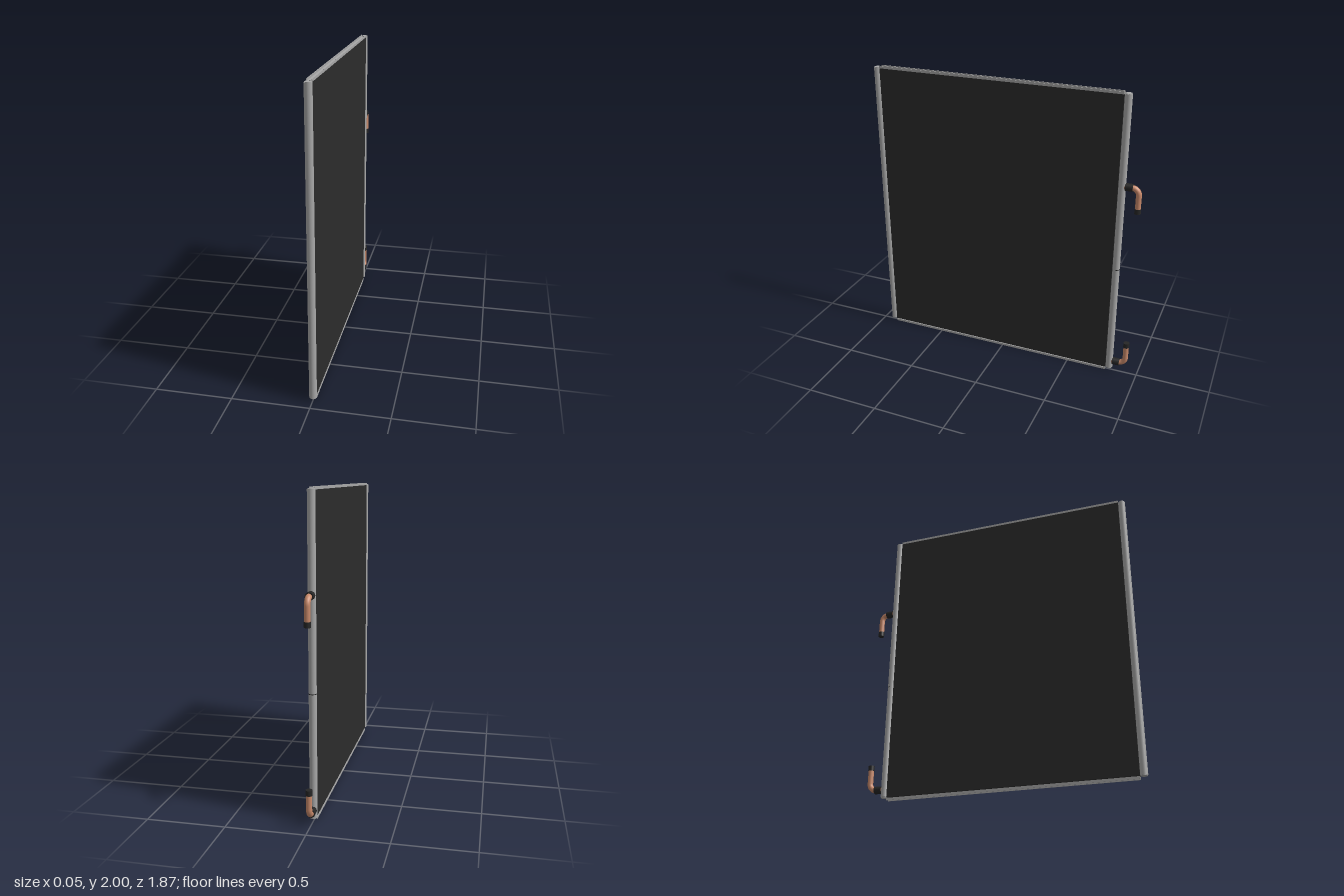
import * as THREE from 'three';

const mat = (name, color, side = THREE.FrontSide) => {
  const m = new THREE.MeshStandardMaterial({ color, side });
  m.name = name;
  return m;
};

export function createModel() {
  const aluminium = mat('aluminium', 0xa9a9a9);
  const finBlack = mat('fin black', 0x2c2c2c);
  const sleeveBlack = mat('sleeve black', 0x262626, THREE.DoubleSide);
  const copper = mat('copper', 0xc98a6b);

  const model = new THREE.Group();
  model.name = 'heatExchanger';
  const add = (name, geometry, material, x, y, z, parent = model) => {
    const mesh = new THREE.Mesh(geometry, material);
    mesh.name = name;
    mesh.position.set(x, y, z);
    parent.add(mesh);
    return mesh;
  };

  // Finned core panel
  const zMid = 0.053, coreLength = 1.67;
  add('core', new THREE.BoxGeometry(0.032, 1.966, coreLength), finBlack, 0, 1.003, zMid);

  // Vertical header tubes with small end caps
  for (const [name, z] of [['frontHeader', 0.911], ['rearHeader', -0.805]]) {
    add(name, new THREE.CylinderGeometry(0.024, 0.024, 1.962, 32), aluminium, 0, 1.005, z);
    for (const y of [0.022, 1.988])
      add(name + 'Cap', new THREE.CylinderGeometry(0.021, 0.021, 0.006, 32), aluminium, 0, y, z);
  }

  // Slot for the dividing plate, on the outer half of the rear header
  add('dividerSlot', new THREE.CylinderGeometry(0.0245, 0.0245, 0.005, 24, 1, true, Math.PI / 2, Math.PI),
    sleeveBlack, 0, 0.805, -0.805);

  // U-shaped edge channels, open away from the core
  const u = new THREE.Shape([
    [-0.0175, 0], [0.0175, 0], [0.0175, 0.016], [0.0135, 0.016],
    [0.0135, 0.004], [-0.0135, 0.004], [-0.0135, 0.016], [-0.0175, 0.016],
  ].map(([x, y]) => new THREE.Vector2(x, y)));
  const channelGeometry = new THREE.ExtrudeGeometry(u, { depth: coreLength, bevelEnabled: false });
  channelGeometry.translate(0, 0, -coreLength / 2);
  for (const top of [true, false]) {
    const channel = new THREE.Group();
    channel.name = top ? 'topChannel' : 'bottomChannel';
    channel.position.set(0, top ? 1.984 : 0.016, zMid);
    if (!top) channel.rotation.z = Math.PI;
    model.add(channel);
    add('channelRail', channelGeometry, aluminium, 0, 0, 0, channel);
    // Drain holes along the web
    for (const z of [-0.82, -0.48, -0.16, 0.16, 0.49, 0.82])
      add('drainHole', new THREE.CylinderGeometry(0.005, 0.005, 0.001, 12), finBlack, 0, 0.0045, z, channel);
  }

  // Bent pipe stubs: the upper one turns down, the lower one up
  for (const [name, y, dir] of [['upperPipe', 1.393, -1], ['lowerPipe', 0.076, 1]]) {
    const pipe = new THREE.Group();
    pipe.name = name;
    pipe.position.y = y;
    model.add(pipe);
    const path = new THREE.CurvePath();
    const v = (h, z) => new THREE.Vector3(0, h * dir, z);
    path.add(new THREE.LineCurve3(v(0, -0.822), v(0, -0.868)));
    path.add(new THREE.CubicBezierCurve3(v(0, -0.868), v(0, -0.894), v(0.021, -0.915), v(0.047, -0.915)));
    path.add(new THREE.LineCurve3(v(0.047, -0.915), v(0.165, -0.915)));
    add('elbow', new THREE.TubeGeometry(path, 48, 0.0185, 20), copper, 0, 0, 0, pipe);
    add('collar', new THREE.CylinderGeometry(0.025, 0.025, 0.05, 28), sleeveBlack, 0, 0, -0.851, pipe)
      .rotation.x = Math.PI / 2;
    add('endCap', new THREE.CylinderGeometry(0.0205, 0.0205, 0.034, 28), sleeveBlack, 0, 0.153 * dir, -0.915, pipe);
  }
  return model;
}
